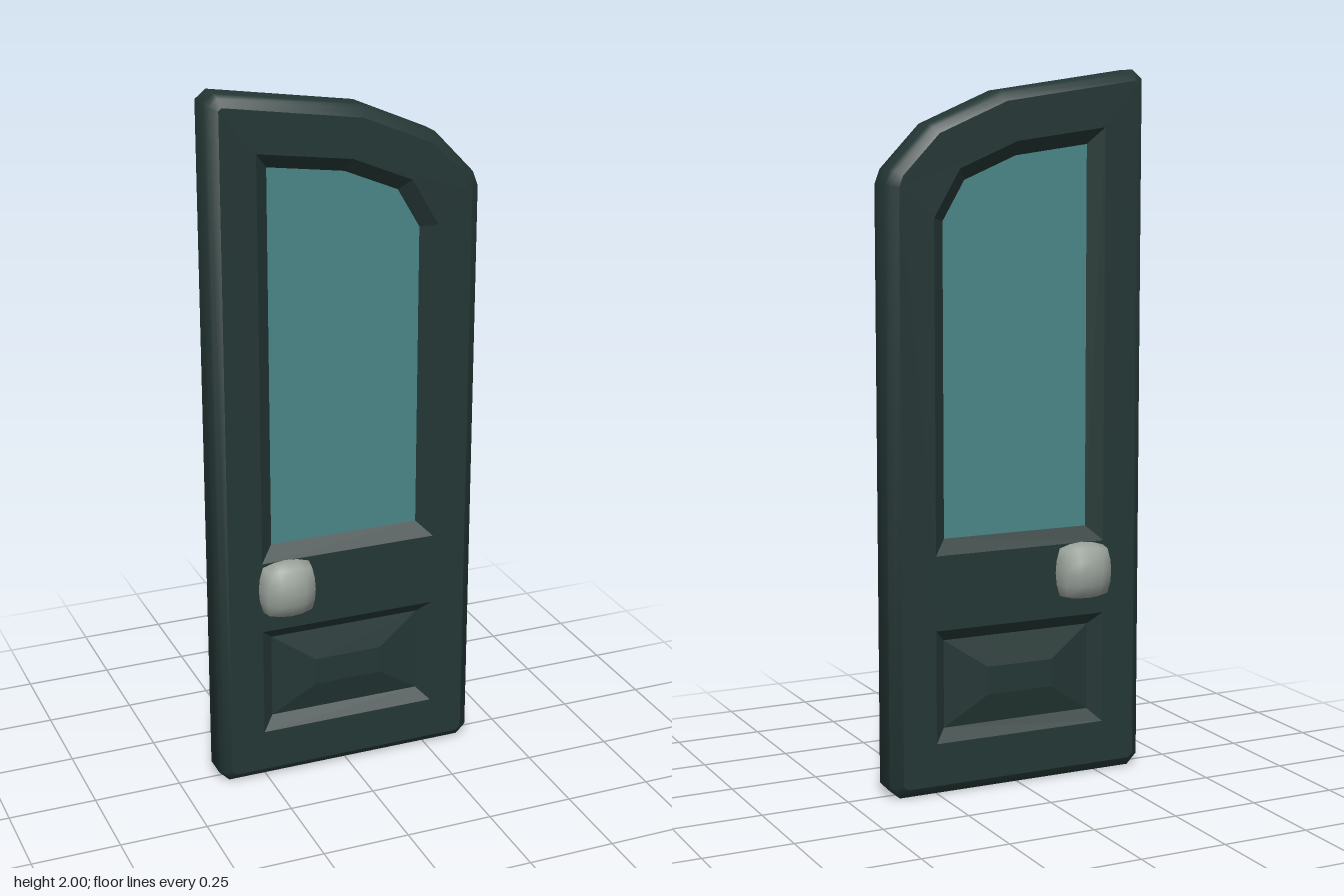
import * as THREE from 'three';
import { mergeGeometries, mergeVertices, toCreasedNormals } from 'three/addons/utils/BufferGeometryUtils.js';

const paint = new THREE.MeshStandardMaterial({ name: 'dark green paint', color: 0x243735 });
const glass = new THREE.MeshStandardMaterial({ name: 'teal glass', color: 0x4a8688 });
const metal = new THREE.MeshStandardMaterial({ name: 'grey metal', color: 0x98a099 });

// Outlines run counter-clockwise seen from the front
const doorOutline = [[-0.36, 0], [0.36, 0], [0.39, 0.03], [0.39, 1.69], [0.375, 1.73],
  [0.26, 1.85], [0.05, 1.94], [-0.36, 2], [-0.39, 1.975], [-0.39, 0.03]];
const glassOutline = [[-0.22, 0.72], [0.22, 0.72], [0.22, 1.59], [0.155, 1.70], [0, 1.765], [-0.22, 1.795]];
const rect = (hx, y0, y1) => [[-hx, y0], [hx, y0], [hx, y1], [-hx, y1]];

// Move every edge of a convex outline inwards by d
function inset(loop, d) {
  const n = loop.length;
  const normal = (p, q) => {
    const l = Math.hypot(q[0] - p[0], q[1] - p[1]);
    return [-(q[1] - p[1]) / l, (q[0] - p[0]) / l];
  };
  return loop.map((p, i) => {
    const a = normal(loop[(i + n - 1) % n], p), b = normal(p, loop[(i + 1) % n]);
    const k = d / (1 + a[0] * b[0] + a[1] * b[1]);
    return [p[0] + k * (a[0] + b[0]), p[1] + k * (a[1] + b[1])];
  });
}

// Band of faces between two outlines, each at its own depth
function band(a, za, b, zb) {
  const pos = [];
  a.forEach((p, i) => {
    const j = (i + 1) % a.length;
    const A = [...p, za], B = [...a[j], za], C = [...b[j], zb], D = [...b[i], zb];
    pos.push(...A, ...B, ...C, ...A, ...C, ...D);
  });
  const g = new THREE.BufferGeometry();
  g.setAttribute('position', new THREE.Float32BufferAttribute(pos, 3));
  return g;
}

// Flat face with optional openings
function plate(outline, z, holes = []) {
  const points = (l) => l.map(([x, y]) => new THREE.Vector2(x, y));
  const shape = new THREE.Shape(points(outline));
  holes.forEach((h) => shape.holes.push(new THREE.Path(points(h))));
  const g = new THREE.ShapeGeometry(shape).toNonIndexed().translate(0, 0, z);
  g.deleteAttribute('uv');
  g.deleteAttribute('normal');
  return g;
}

// Add the same faces on the back of the door
function bothSides(parts) {
  const front = mergeGeometries(parts);
  const back = front.clone().scale(1, 1, -1);
  const p = back.attributes.position;
  const v = new THREE.Vector3(), w = new THREE.Vector3();
  for (let i = 0; i < p.count; i += 3) {
    v.fromBufferAttribute(p, i + 1);
    w.fromBufferAttribute(p, i + 2);
    p.setXYZ(i + 1, w.x, w.y, w.z);
    p.setXYZ(i + 2, v.x, v.y, v.z);
  }
  const g = mergeGeometries([front, back]);
  g.computeVertexNormals();
  return g;
}

// Rounded block, half way between a box and an ellipsoid
function knobGeometry() {
  const g = new THREE.BoxGeometry(2, 2, 2, 4, 4, 6);
  g.deleteAttribute('uv');
  g.deleteAttribute('normal');
  const p = g.attributes.position;
  const bulge = (a, b, c) => a * (0.4 + 0.6 * Math.sqrt(1 - b * b / 2 - c * c / 2 + b * b * c * c / 3));
  for (let i = 0; i < p.count; i++) {
    const x = p.getX(i), y = p.getY(i), z = p.getZ(i);
    p.setXYZ(i, 0.086 * bulge(x, y, z), 0.086 * bulge(y, z, x), 0.137 * bulge(z, x, y));
  }
  const merged = mergeVertices(g);
  merged.computeVertexNormals();
  return merged;
}

export function createModel() {
  const door = new THREE.Group();
  door.name = 'door';
  const add = (name, geometry, material) => {
    const mesh = new THREE.Mesh(geometry, material);
    mesh.name = name;
    door.add(mesh);
    return mesh;
  };
  const face = 0.065;

  // Rounded rim
  const steps = [[0, 0], [0, 0.035], [0.01, 0.05], [0.03, face]];
  const loops = steps.map(([d]) => inset(doorOutline, d));
  const rim = steps.slice(1).map(([, z], i) => band(loops[i], steps[i][1], loops[i + 1], z));
  add('doorRim', toCreasedNormals(bothSides(rim), 0.9), paint);

  // Flat faces with openings for window and panel
  const windowOpening = inset(glassOutline, -0.04);
  const panelOpening = rect(0.26, 0.15, 0.47);
  add('doorFaces', bothSides([plate(loops[3], face, [windowOpening, panelOpening])]), paint);

  // Window frame and panes
  add('windowFrame', bothSides([band(windowOpening, face, glassOutline, 0.03)]), paint);
  add('windowPanes', bothSides([plate(glassOutline, 0.03)]), glass);

  // Sunken panel with raised centre
  const groove = rect(0.225, 0.185, 0.435), centre = rect(0.1, 0.27, 0.35);
  add('lowerPanel', bothSides([
    band(panelOpening, face, groove, 0.035),
    band(groove, 0.035, centre, 0.058),
    plate(centre, 0.058),
  ]), paint);

  // Knob passing through to both sides
  add('knob', knobGeometry(), metal).position.set(-0.19, 0.6, 0);
  return door;
}
